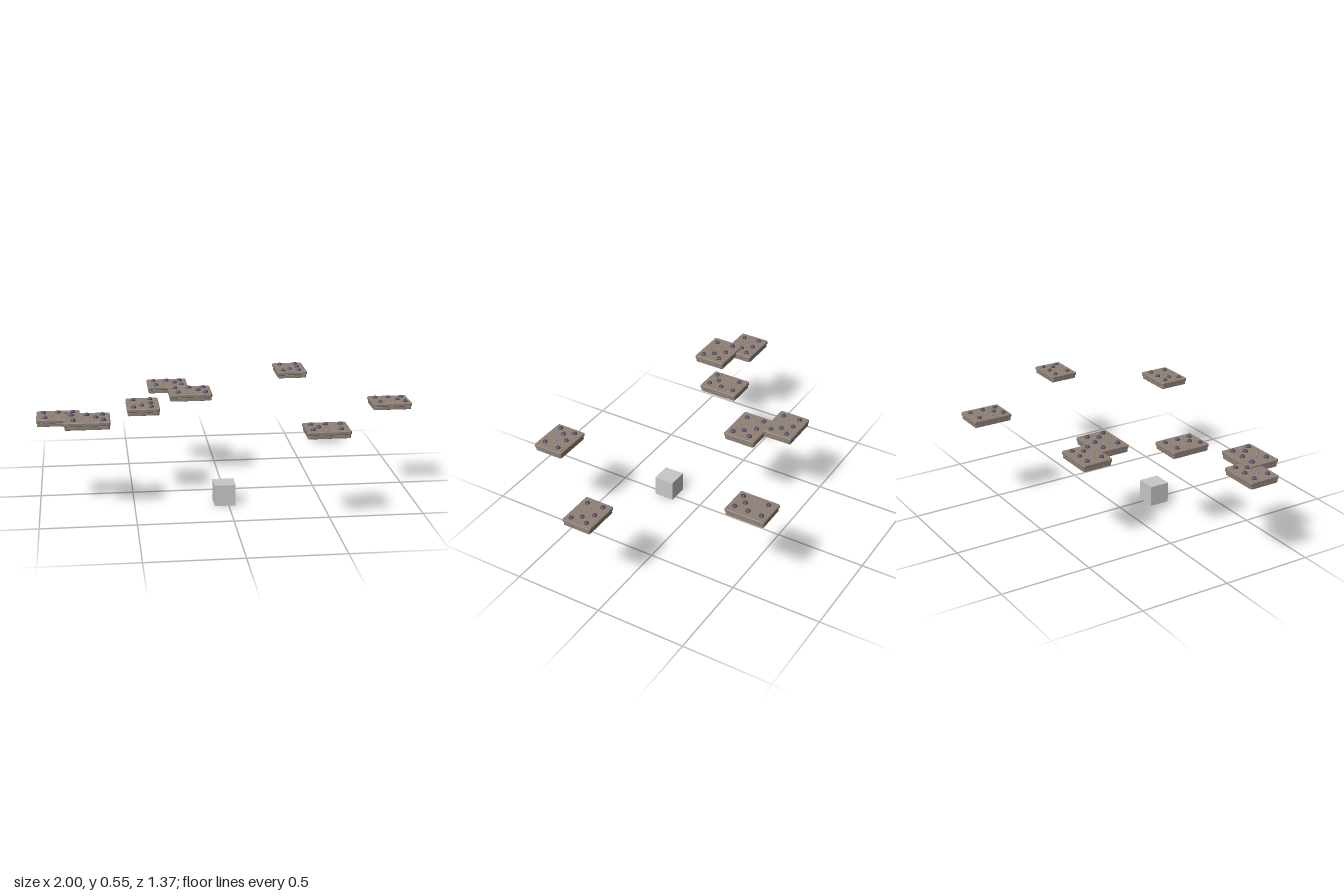
import * as THREE from 'three';

const plateMat = new THREE.MeshStandardMaterial({ name: 'taupe stone', color: 0x8e8076 });
const grooveMat = new THREE.MeshStandardMaterial({ name: 'dark groove', color: 0x4a4039 });
const studMat = new THREE.MeshStandardMaterial({ name: 'purple stud', color: 0x544a63 });
const cubeMat = new THREE.MeshStandardMaterial({ name: 'light grey', color: 0xc8c8c8 });
for (const m of [plateMat, studMat, cubeMat]) m.flatShading = true;

// Slab with clipped corners and a small bevel, from y to y + h
function slab(name, w, d, y, h, cut, bevel, mat) {
  const a = w / 2 - bevel, b = d / 2 - bevel;
  const shape = new THREE.Shape([
    [-a + cut, -b], [a - cut, -b], [a, -b + cut], [a, b - cut],
    [a - cut, b], [-a + cut, b], [-a, b - cut], [-a, -b + cut],
  ].map(([x, z]) => new THREE.Vector2(x, z)));
  const geo = new THREE.ExtrudeGeometry(shape, {
    depth: h - 2 * bevel, bevelEnabled: bevel > 0, bevelSize: bevel, bevelThickness: bevel, bevelSegments: 1,
  });
  geo.rotateX(-Math.PI / 2).translate(0, y + bevel, 0);
  const mesh = new THREE.Mesh(geo, mat);
  mesh.name = name;
  return mesh;
}

// Low dome with a flat top, standing on y
function stud(name, x, y, z, r, h, mat) {
  const profile = [[r, 0], [r * 0.95, h * 0.5], [r * 0.55, h], [0, h]].map(([u, v]) => new THREE.Vector2(u, v));
  const mesh = new THREE.Mesh(new THREE.LatheGeometry(profile, 8), mat);
  mesh.name = name;
  mesh.position.set(x, y, z);
  return mesh;
}

const STUDS = [[-0.075, -0.043], [0, -0.043], [0.075, -0.043], [0.043, 0.006], [-0.065, 0.048], [0.078, 0.05]];
const KNOBS = [[-0.032, 0.01], [0.008, 0.05]];

// Two-layer plate carrying studs; mirror flips the stud pattern
function plate(mirror) {
  const g = new THREE.Group();
  g.name = 'studdedPlate';
  g.add(slab('lowerSlab', 0.215, 0.165, 0, 0.0175, 0.006, 0.001, plateMat));
  g.add(slab('groove', 0.211, 0.161, 0.017, 0.003, 0.006, 0, grooveMat));
  g.add(slab('upperSlab', 0.223, 0.173, 0.0185, 0.0185, 0.005, 0.003, plateMat));
  for (const [x, z] of STUDS) g.add(stud('stud', x * mirror, 0.036, z, 0.0135, 0.0125, studMat));
  for (const [x, z] of KNOBS) g.add(stud('smallKnob', x * mirror, 0.036, z, 0.009, 0.006, plateMat));
  return g;
}

// x, y of the underside, z, scale, quarter turn, pattern mirror
const PLATES = [
  [0.455, 0.498, -0.575, 1, 1, 1],
  [-0.28, 0.479, -0.375, 1, 0, 1],
  [-0.165, 0.474, -0.212, 1.06, 0, 1],
  [-0.443, 0.496, 0.1, 1, 1, 1],
  [-0.888, 0.479, 0.212, 1, 0, 1],
  [-0.74, 0.486, 0.312, 1.07, 0, 1],
  [0.893, 0.48, 0.107, 0.95, 0, 1],
  [0.456, 0.484, 0.593, 1, 0, -1],
];

export function createModel() {
  const model = new THREE.Group();
  model.name = 'floatingPlates';
  for (const [x, y, z, s, turn, mirror] of PLATES) {
    const p = plate(mirror);
    p.position.set(x, y, z);
    p.scale.setScalar(s);
    p.rotation.y = -turn * Math.PI / 2;
    model.add(p);
  }
  // Plain block on the ground
  const cube = new THREE.Mesh(new THREE.BoxGeometry(0.112, 0.115, 0.112), cubeMat);
  cube.name = 'groundCube';
  cube.position.set(-0.02, 0.0575, 0.213);
  model.add(cube);
  return model;
}
